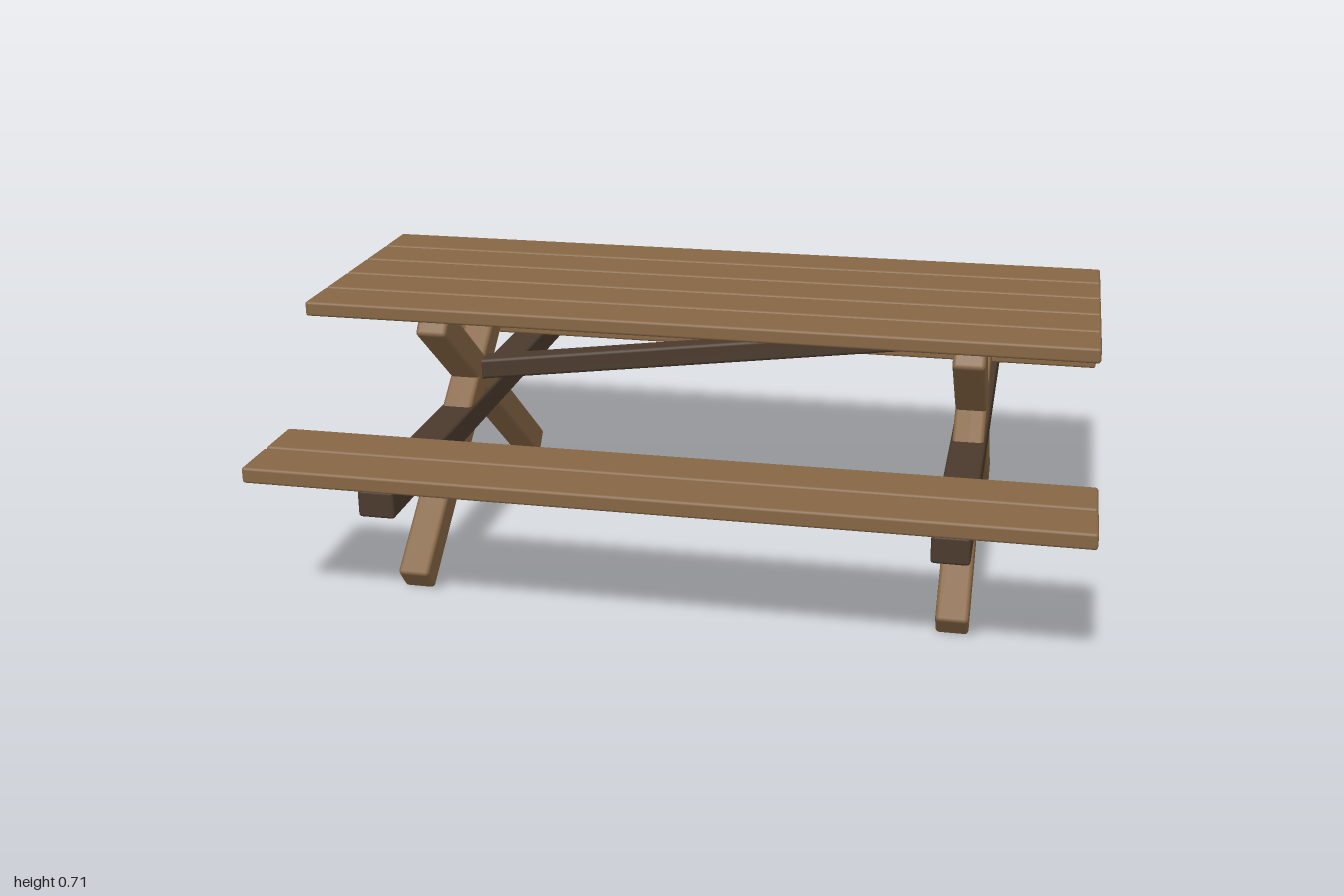
import * as THREE from 'three';
import { RoundedBoxGeometry } from 'three/addons/geometries/RoundedBoxGeometry.js';

export function createModel() {
  const model = new THREE.Group();
  model.name = 'picnicTable';
  const wood = new THREE.MeshStandardMaterial({ color: 0x866645 });
  wood.name = 'light wood';
  const darkWood = new THREE.MeshStandardMaterial({ color: 0x4a3a2c });
  darkWood.name = 'dark wood';

  // A softened timber of given size, added to a parent
  function timber(parent, name, size, position, material, bevel) {
    const mesh = new THREE.Mesh(new RoundedBoxGeometry(...size, 2, bevel), material);
    mesh.name = name;
    mesh.position.set(...position);
    parent.add(mesh);
    return mesh;
  }

  // Table top: five planks side by side
  const top = new THREE.Group();
  top.name = 'tableTop';
  model.add(top);
  for (let i = -2; i <= 2; i++) {
    timber(top, 'topPlank', [1.98, 0.038, 0.134], [-0.002, 0.695, i * 0.1415], wood, 0.007);
  }

  // Two benches of two planks each
  for (const side of [1, -1]) {
    const bench = new THREE.Group();
    bench.name = side > 0 ? 'frontBench' : 'backBench';
    model.add(bench);
    for (const z of [0.555, 0.696]) {
      timber(bench, 'benchPlank', [2, 0.04, 0.132], [0, 0.404, side * z], wood, 0.007);
    }
  }

  // Trestles: crossed legs and the beam that carries the benches
  const legAngle = Math.atan2(0.625, 0.78);
  for (const x of [0.68, -0.68]) {
    const trestle = new THREE.Group();
    trestle.name = x > 0 ? 'leftTrestle' : 'rightTrestle';
    trestle.position.x = x;
    model.add(trestle);
    for (const side of [1, -1]) {
      const leg = timber(trestle, 'leg', [0.08, 0.078, 1.0], [0, 0.347, side * 0.11], wood, 0.01);
      leg.rotation.x = side * legAngle;
    }
    timber(trestle, 'benchBeam', [0.09, 0.07, 1.46], [0, 0.341, 0], darkWood, 0.008);
  }

  // Sloping brace between the trestles
  const brace = timber(model, 'brace', [1.325, 0.056, 0.06], [0, 0.533, 0], darkWood, 0.009);
  brace.rotation.z = Math.atan2(0.17, 1.28);

  return model;
}
